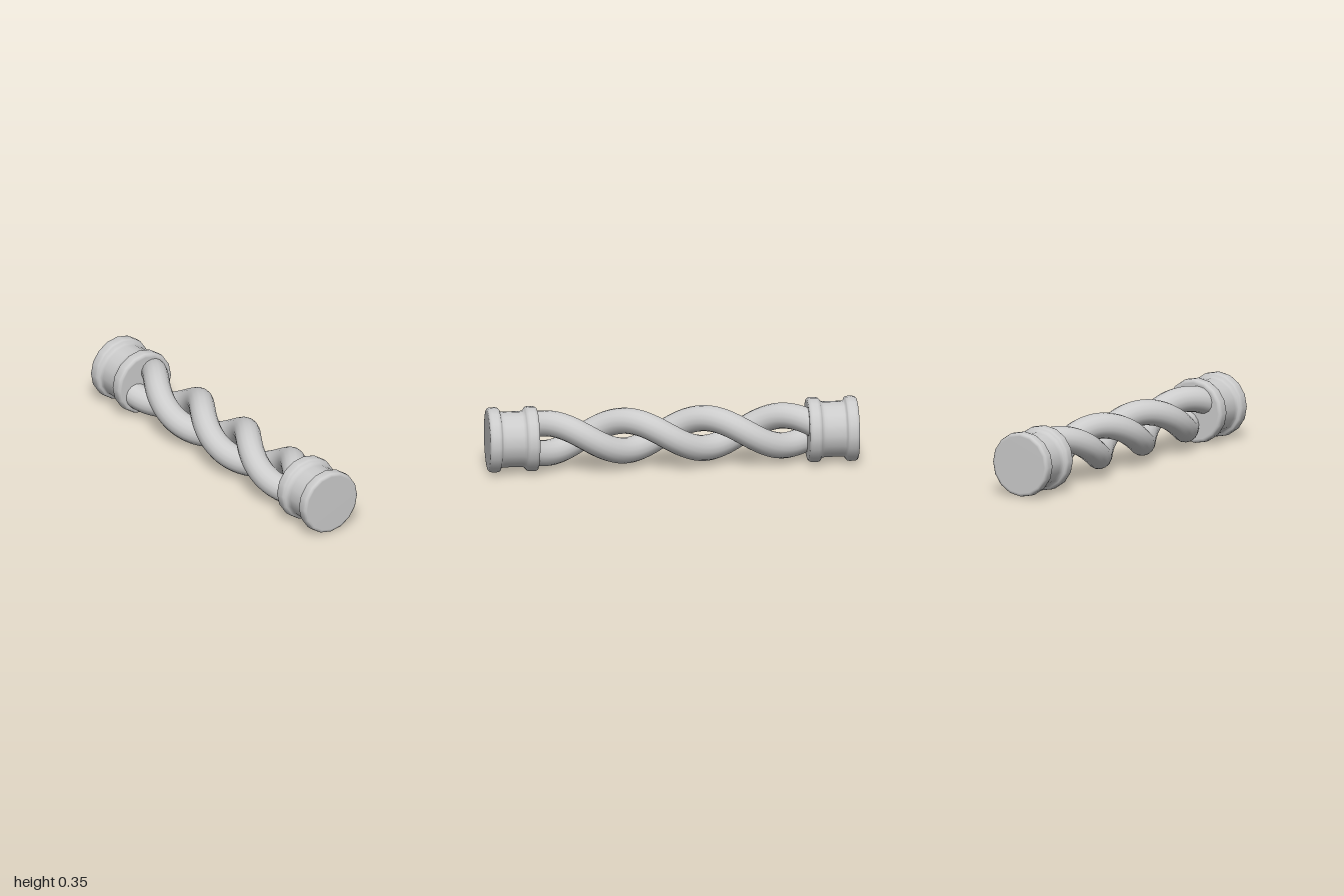
import * as THREE from 'three';

const AXIS_Y = 0.177;      // height of the handle's axis
const PERIOD = 0.86;       // length of one full twist
const HELIX_RADIUS = 0.08;
const STRAND_RADIUS = 0.07;

// One twisted strand running along z
class Helix extends THREE.Curve {
  constructor(phase) {
    super();
    this.phase = phase;
  }
  getPoint(t, target = new THREE.Vector3()) {
    const z = -0.78 + 1.56 * t;
    const a = (2 * Math.PI * (z - 0.01)) / PERIOD + this.phase;
    return target.set(HELIX_RADIUS * Math.cos(a), HELIX_RADIUS * Math.sin(a), z);
  }
}

export function createModel() {
  const group = new THREE.Group();
  group.name = 'twistedHandle';
  const material = new THREE.MeshStandardMaterial({ color: 0xcccccc });

  // Two intertwined strands
  [0, Math.PI].forEach((phase, i) => {
    const strand = new THREE.Mesh(
      new THREE.TubeGeometry(new Helix(phase), 96, STRAND_RADIUS, 16), material);
    strand.name = i ? 'strandB' : 'strandA';
    strand.position.y = AXIS_Y;
    group.add(strand);
  });

  // Spool-shaped end: inner collar, waist, outer collar (radius, distance along axis)
  const profile = [
    [0, 0.73], [0.155, 0.73], [0.165, 0.731], [0.173, 0.738], [0.176, 0.75],
    [0.176, 0.78], [0.173, 0.791], [0.165, 0.798], [0.157, 0.803], [0.152, 0.815],
    [0.151, 0.83], [0.151, 0.91], [0.153, 0.925], [0.158, 0.932], [0.167, 0.935],
    [0.173, 0.941], [0.176, 0.952], [0.176, 0.98], [0.173, 0.993], [0.166, 0.999],
    [0.157, 1], [0, 1],
  ].map(([r, d]) => new THREE.Vector2(r, d));
  const capGeometry = new THREE.LatheGeometry(profile, 16).rotateX(Math.PI / 2);

  ['frontEnd', 'backEnd'].forEach((name, i) => {
    const cap = new THREE.Mesh(capGeometry, material);
    cap.name = name;
    cap.position.y = AXIS_Y;
    cap.rotation.y = i * Math.PI;
    group.add(cap);
  });

  return group;
}
